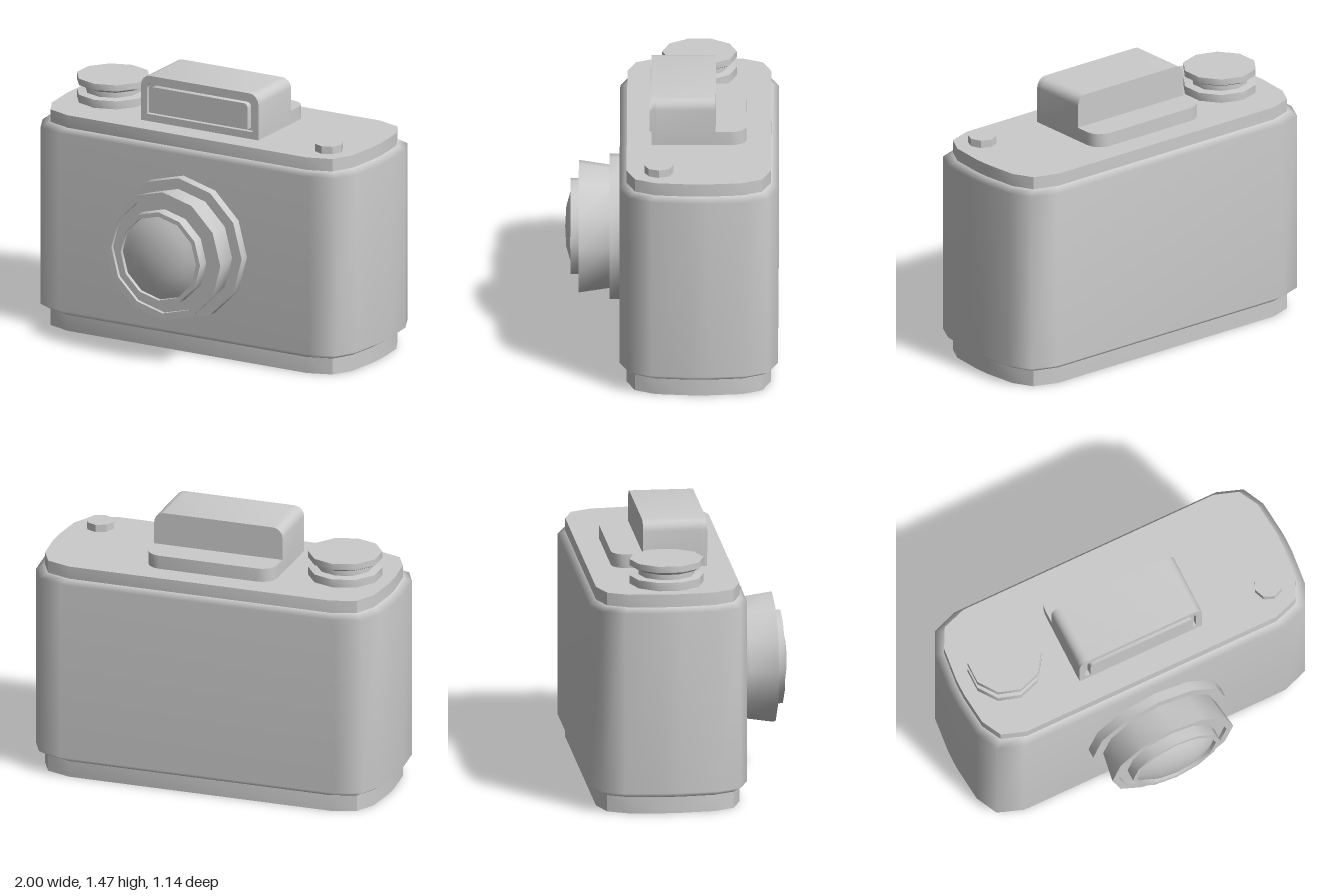
import * as THREE from 'three';
import { toCreasedNormals } from 'three/addons/utils/BufferGeometryUtils.js';

const CENTRE_Z = -0.145;
const BASE_Y = 1.21; // top of the upper plate
const material = new THREE.MeshStandardMaterial({ color: 0xcccccc });

function part(name, geometry, creased = true) {
  const mesh = new THREE.Mesh(creased ? toCreasedNormals(geometry, 0.66) : geometry, material);
  mesh.name = name;
  return mesh;
}

// Plan outline of the body, mirrored from one rounded corner
function outline(sx = 1, sz = 1) {
  const corner = [[1, 0.05], [0.98, 0.255], [0.92, 0.375], [0.78, 0.425]];
  const half = [...corner, ...corner.map(([x, z]) => [-x, z]).reverse()];
  return [...half, ...half.map(([x, z]) => [-x, -z])]
    .map(([x, z]) => new THREE.Vector2(x * sx, z * sz));
}

// Flat plate following the inset outline
function plate(y0, y1) {
  const shape = new THREE.Shape(outline(0.955, 0.91));
  return new THREE.ExtrudeGeometry(shape, { depth: y1 - y0, bevelEnabled: false })
    .rotateX(-Math.PI / 2).translate(0, y0, CENTRE_Z);
}

// Smooth shell lofted through rings of the outline, narrowed at both ends
function shell() {
  const rings = [[0.09, 0.955, 0.91], [0.12, 1, 1], [1.115, 1, 1], [1.14, 0.955, 0.91]];
  const positions = [], index = [];
  let n = 0;
  for (const [y, sx, sz] of rings) {
    const points = outline(sx, sz);
    n = points.length;
    for (const p of points) positions.push(p.x, y, p.y + CENTRE_Z);
  }
  for (let r = 0; r < rings.length - 1; r++) {
    for (let i = 0; i < n; i++) {
      const a = r * n + i, b = r * n + (i + 1) % n;
      index.push(a, a + n, b, b, a + n, b + n);
    }
  }
  const geometry = new THREE.BufferGeometry();
  geometry.setAttribute('position', new THREE.Float32BufferAttribute(positions, 3));
  geometry.setIndex(index);
  geometry.computeVertexNormals();
  return geometry;
}

// Rectangle with its two upper corners rounded
function archPath(PathType, w, y0, y1, r) {
  const path = new PathType();
  path.moveTo(-w, y0);
  path.lineTo(w, y0);
  path.lineTo(w, y1 - r);
  path.absarc(w - r, y1 - r, r, 0, Math.PI / 2, false);
  path.lineTo(-w + r, y1);
  path.absarc(-w + r, y1 - r, r, Math.PI / 2, Math.PI, false);
  path.lineTo(-w, y0);
  return path;
}

function extrude(shape, z0, z1) {
  return new THREE.ExtrudeGeometry(shape, { depth: z1 - z0, bevelEnabled: false, curveSegments: 2 })
    .translate(0, 0, z0);
}

// Turned part: profile of [radius, height] from bottom to top
function turned(profile, sides) {
  return new THREE.LatheGeometry(profile.map(([r, y]) => new THREE.Vector2(r, y)), sides);
}

function lens() {
  const group = new THREE.Group();
  group.name = 'lens';
  const pieces = {
    lensFlange: [[0, 0.26], [0.395, 0.26], [0.395, 0.335], [0, 0.335]],
    lensBarrel: [[0.335, 0.335], [0.36, 0.5], [0.32, 0.5], [0.32, 0.48], [0.2, 0.48]],
    lensRing: [[0.26, 0.48], [0.26, 0.545], [0.235, 0.545], [0.235, 0.52]],
    lensGlass: [[0.235, 0.522], [0.18, 0.547], [0.11, 0.567], [0, 0.573]],
  };
  for (const [name, profile] of Object.entries(pieces)) group.add(part(name, turned(profile, 12)));
  group.rotation.x = Math.PI / 2;
  group.position.y = 0.605;
  return group;
}

function viewfinder() {
  const group = new THREE.Group();
  group.name = 'viewfinder';
  const frame = archPath(THREE.Shape, 0.365, BASE_Y, 1.465, 0.055);
  frame.holes.push(archPath(THREE.Path, 0.33, 1.25, 1.43, 0.04));
  group.add(
    part('viewfinderHousing', extrude(archPath(THREE.Shape, 0.365, BASE_Y, 1.465, 0.055), -0.235, 0.085)),
    part('viewfinderFrame', extrude(frame, 0.085, 0.11)),
    part('viewfinderWindow', extrude(archPath(THREE.Shape, 0.305, 1.265, 1.408, 0.025), 0.085, 0.12)),
    // Low step behind the housing, rounded at the back
    part('rearStep', extrude(archPath(THREE.Shape, 0.365, 0.2, 0.4, 0.085), 0, 0.075)
      .rotateX(-Math.PI / 2).translate(0, BASE_Y, 0)),
  );
  return group;
}

export function createModel() {
  const model = new THREE.Group();
  model.name = 'camera';

  model.add(
    part('basePlate', plate(0, 0.09)),
    part('body', shell(), false),
    part('topPlate', plate(1.14, BASE_Y)),
    lens(),
    viewfinder(),
  );

  // Winding knob with a narrow neck
  const knob = part('windingKnob', turned([
    [0.2, 0], [0.2, 0.045], [0.152, 0.05], [0.152, 0.078],
    [0.17, 0.085], [0.2, 0.1], [0.2, 0.135], [0, 0.135],
  ], 10));
  knob.position.set(-0.69, BASE_Y, -0.145);

  const button = part('shutterButton', turned([[0.077, 0], [0.077, 0.042], [0, 0.042]], 8));
  button.position.set(0.78, BASE_Y, 0.068);

  model.add(knob, button);
  return model;
}
